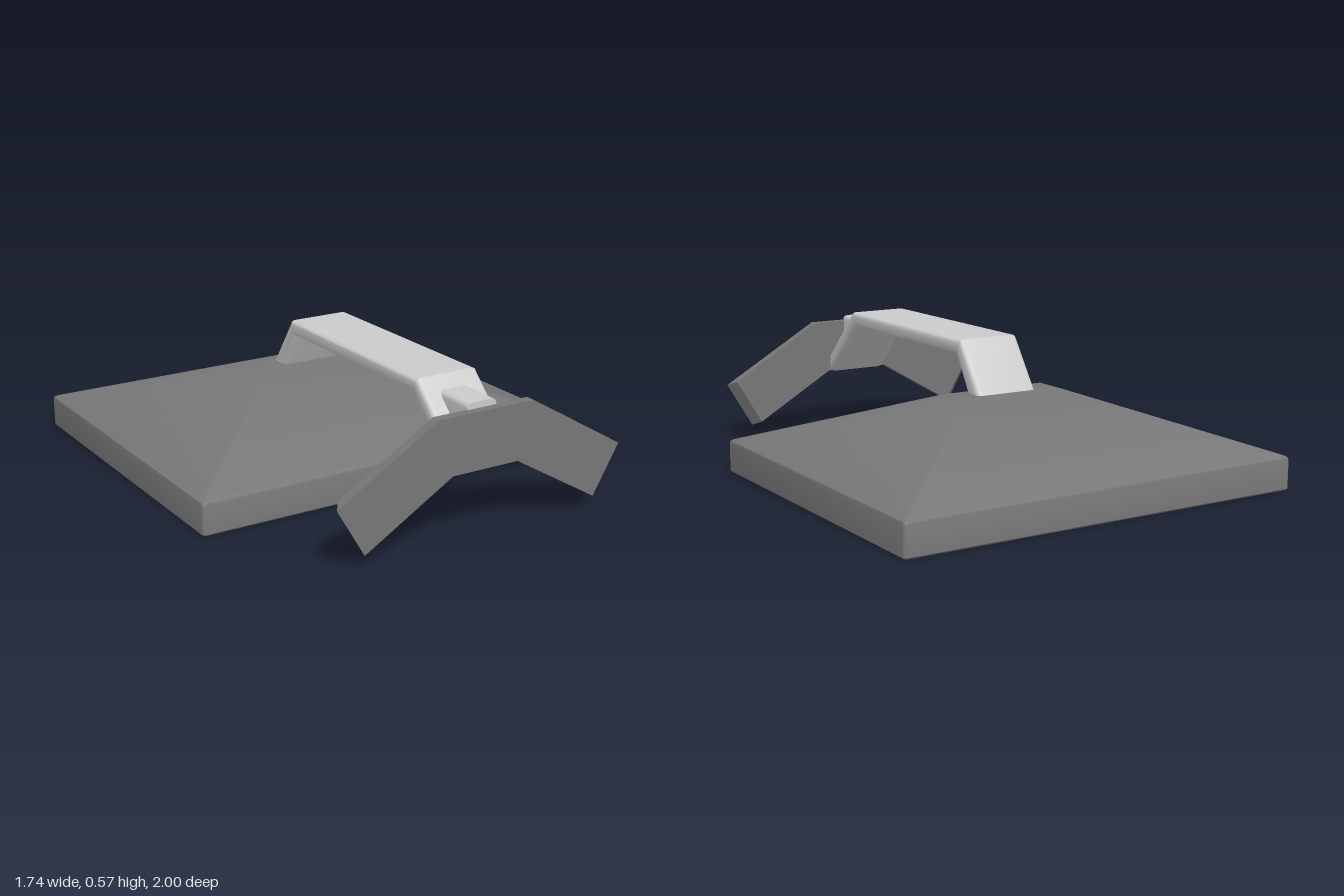
import * as THREE from 'three';
import { toCreasedNormals } from 'three/addons/utils/BufferGeometryUtils.js';

const light = new THREE.MeshStandardMaterial({ color: 0xcccccc });
const dark = new THREE.MeshStandardMaterial({ color: 0x777777 });

// Counter-clockwise rectangle with elliptical corners, as 2D points
function roundRect(x0, x1, y0, y1, rx, ry = rx, n = 4) {
  const corners = [[x1 - rx, y0 + ry], [x1 - rx, y1 - ry], [x0 + rx, y1 - ry], [x0 + rx, y0 + ry]];
  return corners.flatMap(([cx, cy], c) => Array.from({ length: n + 1 }, (_, i) => {
    const a = (c - 1 + i / n) * Math.PI / 2;
    return new THREE.Vector2(cx + rx * Math.cos(a), cy + ry * Math.sin(a));
  }));
}

// Closed solid through rings of [x, y, z]; the outline is used to triangulate both ends
function loft(outline, rings, crease = 0.5) {
  const n = outline.length, last = (rings.length - 1) * n, index = [];
  for (let r = 0; r < last; r += n) {
    for (let j = 0; j < n; j++) {
      const a = r + j, b = r + (j + 1) % n;
      index.push(a, b, b + n, a, b + n, a + n);
    }
  }
  for (const [a, b, c] of THREE.ShapeUtils.triangulateShape(outline, [])) {
    index.push(c, b, a, last + a, last + b, last + c);
  }
  const geometry = new THREE.BufferGeometry();
  geometry.setAttribute('position', new THREE.Float32BufferAttribute(rings.flat(2), 3));
  geometry.setIndex(index);
  return toCreasedNormals(geometry, crease);
}

export function createModel() {
  const group = new THREE.Group();
  const add = (name, geometry, material) => {
    const mesh = new THREE.Mesh(geometry, material);
    mesh.name = name;
    group.add(mesh);
    return mesh;
  };

  // Housing lying face down: recessed face, bezel, skirt, sloped back
  const levels = [ // y, half width, back z, front z, corner radius
    [0.012, 0.80, -0.93, 0.38, 0.005],
    [0, 0.80, -0.93, 0.38, 0.005],
    [0, 0.865, -0.995, 0.445, 0.012],
    [0.006, 0.872, -1, 0.45, 0.015],
    [0.122, 0.872, -1, 0.45, 0.015],
    [0.131, 0.869, -0.997, 0.447, 0.015],
    [0.137, 0.86, -0.988, 0.438, 0.015],
    [0.365, 0.235, -0.355, -0.195, 0.004],
  ];
  const outlines = levels.map(([, w, back, front, r]) => roundRect(-w, w, -front, -back, r));
  add('housing', loft(outlines[0], outlines.map((o, i) => o.map(p => [p.x, levels[i][0], -p.y]))), dark);

  // Display panel inside the bezel
  add('screen', new THREE.BoxGeometry(1.58, 0.006, 1.29), dark).position.set(0, 0.011, -0.275);

  // Bent arm from the housing to the foot: inner and outer edge as [z, y]
  const section = roundRect(-0.137, 0.137, 0, 1, 0.022, 0.3);
  const path = [
    [[-0.225, 0.35], [-0.32, 0.35]],
    [[-0.135, 0.51], [-0.165, 0.57]],
    [[0.72, 0.51], [0.745, 0.57]],
    [[0.965, 0.27], [0.965, 0.355]],
  ];
  add('arm', loft(section, path.map(([inner, outer]) => section.map(p => [
    p.x,
    THREE.MathUtils.lerp(inner[1], outer[1], p.y),
    THREE.MathUtils.lerp(inner[0], outer[0], p.y),
  ]))), light);

  // Small bracket between the arm's slope and the foot
  const tab = roundRect(-0.065, 0.065, 0.32, 0.525, 0.02);
  add('bracket', loft(tab, [[0.78, 0.46], [0.965, 0.32]].map(([z, bottom]) =>
    tab.map(p => [p.x, Math.max(p.y, bottom), z]))), light);

  // Foot: bent plate with chamfered tips
  const half = [[0.145, 0.275], [0.52, 0.055], [0.635, 0.25], [0.21, 0.5]];
  const isTip = i => i === 1 || i === 2;
  const footRing = (z, cut) => {
    const right = half.map(([x, y], i) => isTip(i) ? [x - cut, y + cut * 0.58, z] : [x, y, z]);
    return [...right, ...right.map(([x, y]) => [-x, y, z]).reverse()];
  };
  const rings = [footRing(0.96, 0.03), footRing(1, 0)];
  add('foot', loft(rings[1].map(([x, y]) => new THREE.Vector2(x, y)), rings, 0.3), dark);

  return group;
}
